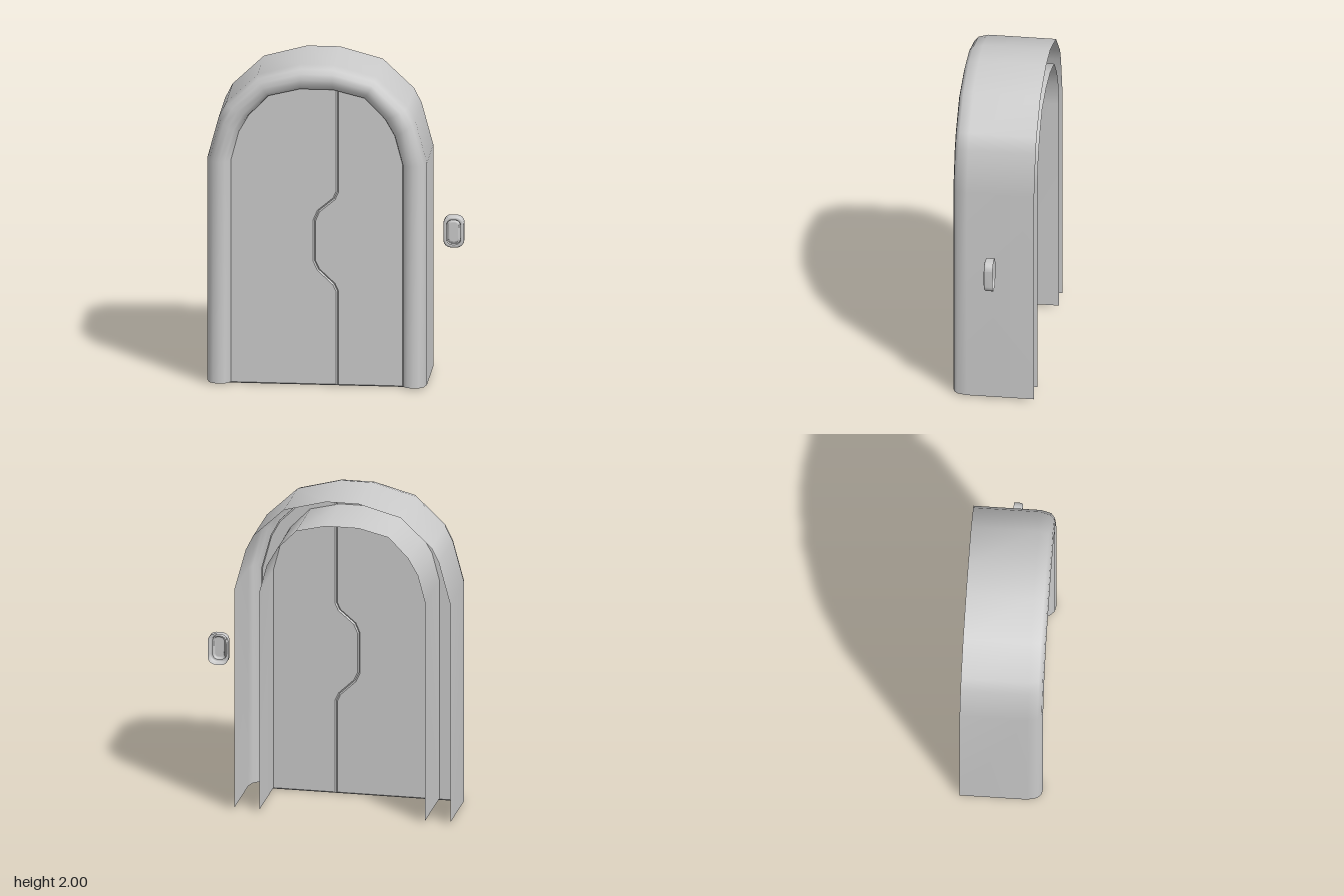
import * as THREE from 'three';

const CX = -0.105; // middle of the doorway

const material = () => new THREE.MeshStandardMaterial({ color: 0xcccccc, side: THREE.DoubleSide });

// Half arches from the springing to the crown, measured from the doorway middle
const OUTER = [[0.665, 1.4], [0.595, 1.66], [0.55, 1.75], [0.36, 1.93], [0.1, 2]];
const INNER = [[0.51, 1.4], [0.465, 1.57], [0.405, 1.675], [0.285, 1.8], [0.1, 1.845]];

// Left-to-right arch path, t = 0 on the outer edge and 1 on the inner edge
function arch(t, bottom) {
  const half = OUTER.map(([x, y], i) => [
    THREE.MathUtils.lerp(x, INNER[i][0], t), THREE.MathUtils.lerp(y, INNER[i][1], t)]);
  half.unshift([half[0][0], bottom]);
  return [...half.map(([x, y]) => [CX - x, y]), ...half.reverse().map(([x, y]) => [CX + x, y])];
}

// Smooth skin across rows of points
function loft(rows) {
  const n = rows[0].length, index = [];
  for (let r = 0; r < rows.length - 1; r++) {
    for (let i = 0; i < n - 1; i++) {
      const a = r * n + i, b = a + 1, c = a + n, d = c + 1;
      index.push(a, c, b, b, c, d);
    }
  }
  const geometry = new THREE.BufferGeometry();
  geometry.setAttribute('position', new THREE.Float32BufferAttribute(rows.flat(2), 3));
  geometry.setIndex(index);
  geometry.computeVertexNormals();
  return geometry;
}

function add(group, name, geometry) {
  const mesh = new THREE.Mesh(geometry, material());
  mesh.name = name;
  group.add(mesh);
  return mesh;
}

// Hollow frame, open at the back, with a rounded front lip
function frameGeometry() {
  const section = [[0, -0.25], [0, 0.16], [0.1, 0.22], [0.27, 0.243], [0.5, 0.25],
    [0.73, 0.243], [0.9, 0.22], [1, 0.16], [1, -0.25]];
  const rows = section.map(([t, z]) => arch(t, 0.01).map(([x, y]) => [x, y, z]));
  return loft(rows.reverse());
}

// Thin door leaf with a small bevel that forms the seam groove
function leafGeometry(points) {
  const geometry = new THREE.ExtrudeGeometry(
    new THREE.Shape(points.map(([x, y]) => new THREE.Vector2(x, y))),
    { depth: 0.01, bevelEnabled: true, bevelThickness: 0.008, bevelSize: 0.008,
      bevelOffset: -0.008, bevelSegments: 1 });
  geometry.translate(0, 0, 0.175);
  return geometry;
}

// Rounded rectangle ring around the origin
function ring(w, h, z) {
  const r = Math.min(0.045, w * 0.75), points = [];
  for (let q = 0; q < 4; q++) {
    const sx = q === 0 || q === 3 ? 1 : -1, sy = q < 2 ? 1 : -1;
    for (let k = 0; k <= 4; k++) {
      const a = (q + k / 4) * Math.PI / 2;
      points.push([sx * (w - r) + r * Math.cos(a), sy * (h - r) + r * Math.sin(a), z]);
    }
  }
  points.push([...points[0]]);
  return points;
}

export function createModel() {
  const model = new THREE.Group();
  model.name = 'archedDoor';

  add(model, 'frame', frameGeometry());

  // Two leaves meeting along a seam with a bulge at hand height
  const seam = [[0.02, 0], [0.02, 0.59], [0, 0.635], [-0.095, 0.725], [-0.12, 0.78],
    [-0.12, 1.03], [-0.095, 1.09], [0, 1.17], [0.02, 1.215], [0.02, 1.917]];
  const edge = arch(0.5, 0);
  const door = new THREE.Group();
  door.name = 'door';
  add(door, 'rightLeaf', leafGeometry([...edge.slice(0, 7), ...[...seam].reverse()]));
  add(door, 'leftLeaf', leafGeometry([...seam, ...edge.slice(7)]));
  model.add(door);

  // Wall button: rim, recess and raised pad, open at the back
  const button = new THREE.Group();
  button.name = 'button';
  button.position.set(0.708, 0.932, 0);
  const rim = [[0, -0.025], [0, 0.02], [0.003, 0.027], [0.009, 0.03], [0.018, 0.03], [0.021, 0.027], [0.022, 0.01]];
  const pad = [[0.022, 0.01], [0.03, 0.01], [0.031, 0.018], [0.035, 0.021]];
  const rings = profile => profile.map(([inset, z]) => ring(0.0625 - inset, 0.0975 - inset, z));
  add(button, 'buttonRim', loft(rings(rim).reverse()));
  const padRings = rings(pad);
  padRings.push(padRings[3].map(([x, y, z]) => [x * 0.9, y * 0.9, z]), padRings[3].map(() => [0, 0, 0.021]));
  add(button, 'buttonPad', loft(padRings.reverse()));
  model.add(button);

  return model;
}
